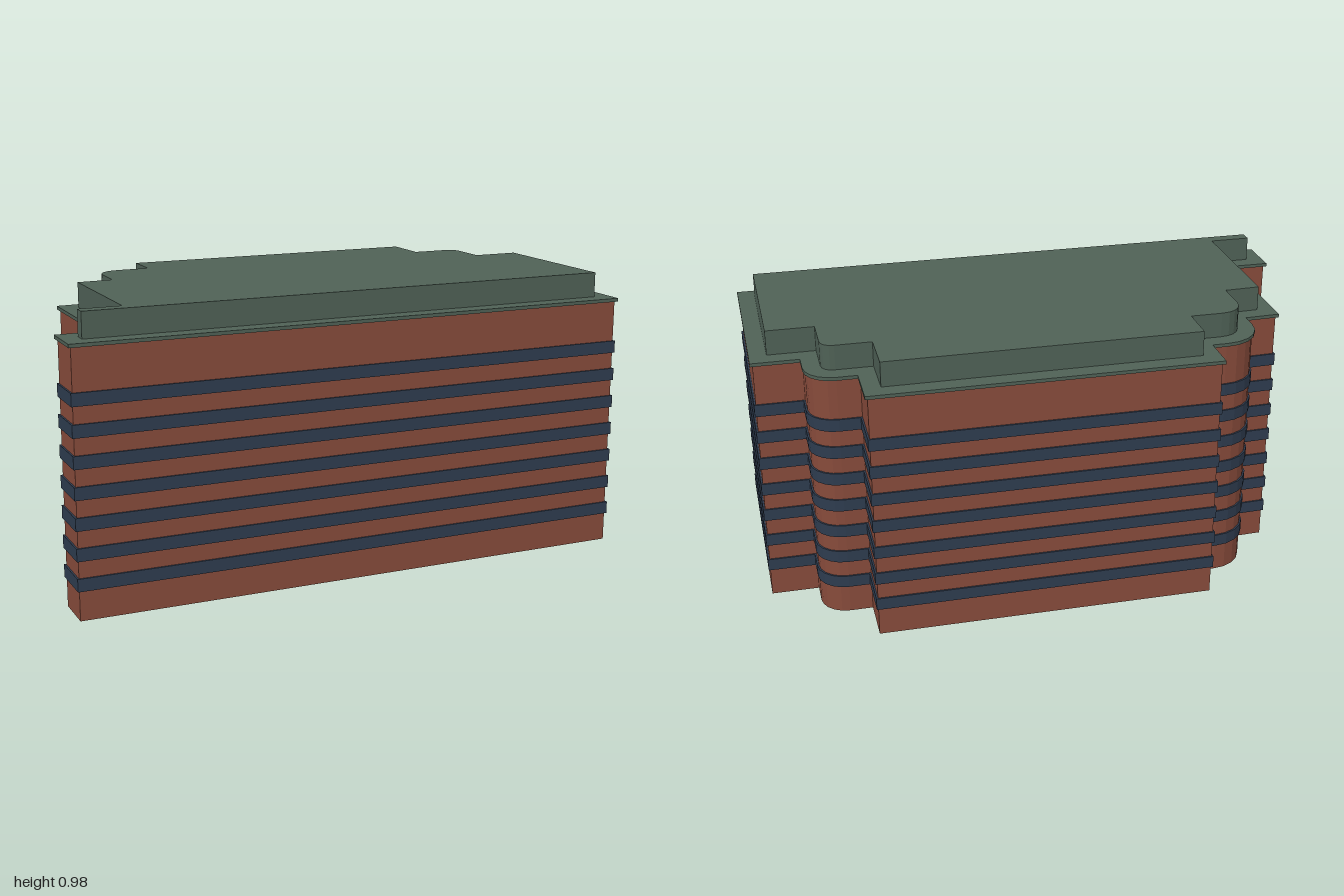
import * as THREE from 'three';

const brick = new THREE.MeshStandardMaterial({ name: 'brick', color: 0x874b3b });
const glass = new THREE.MeshStandardMaterial({ name: 'dark blue glass', color: 0x2e3c4f });
const roofing = new THREE.MeshStandardMaterial({ name: 'green roofing', color: 0x4f6156 });

// Quarter-round corner points, from angle a to a + 90 degrees
function arc(cx, cy, r, a, steps = 5) {
  return Array.from({ length: steps + 1 }, (_, i) => {
    const t = a + (i / steps) * Math.PI / 2;
    return [cx + r * Math.cos(t), cy + r * Math.sin(t)];
  });
}

// Counter-clockwise footprint of the eaves, as (x, -z)
const footprint = [
  [-1, -0.502], [1, -0.502], [1, 0.163], [0.835, 0.163],
  ...arc(0.735, 0.235, 0.1, 0),
  [0.665, 0.335], [0.665, 0.502], [-0.535, 0.502], [-0.535, 0.365],
  ...arc(-0.59, 0.225, 0.14, Math.PI / 2),
  [-0.73, 0.163], [-0.855, 0.158], [-0.855, -0.338], [-1, -0.338],
].map(([x, y]) => new THREE.Vector2(x, y));

// Moves every wall inwards by d, with mitred corners
function inset(points, d) {
  const n = points.length;
  const normals = points.map((p, i) => {
    const e = points[(i + 1) % n].clone().sub(p).normalize();
    return new THREE.Vector2(-e.y, e.x);
  });
  return points.map((p, i) => {
    const a = normals[(i + n - 1) % n], b = normals[i];
    return a.clone().add(b).multiplyScalar(d / (1 + a.dot(b))).add(p);
  });
}

// Upright slab following the footprint between two heights
function slab(name, material, d, y0, y1) {
  const geometry = new THREE.ExtrudeGeometry(new THREE.Shape(inset(footprint, d)), {
    depth: y1 - y0, bevelEnabled: false,
  });
  geometry.rotateX(-Math.PI / 2);
  geometry.translate(0, y0, 0);
  const mesh = new THREE.Mesh(geometry, material);
  mesh.name = name;
  return mesh;
}

export function createModel() {
  const model = new THREE.Group();
  model.name = 'officeBuilding';

  // Brick walls
  model.add(slab('walls', brick, 0.009, 0, 0.886));

  // Seven continuous window bands
  const bands = new THREE.Group();
  bands.name = 'windowBands';
  for (let i = 1; i <= 7; i++) {
    bands.add(slab('windowBand' + i, glass, 0.003, i * 0.1, i * 0.1 + 0.043));
  }
  model.add(bands);

  // Thin eaves and the set-back roof block
  model.add(slab('eaves', roofing, 0, 0.885, 0.897));
  model.add(slab('roofBlock', roofing, 0.06, 0.897, 0.984));
  return model;
}
